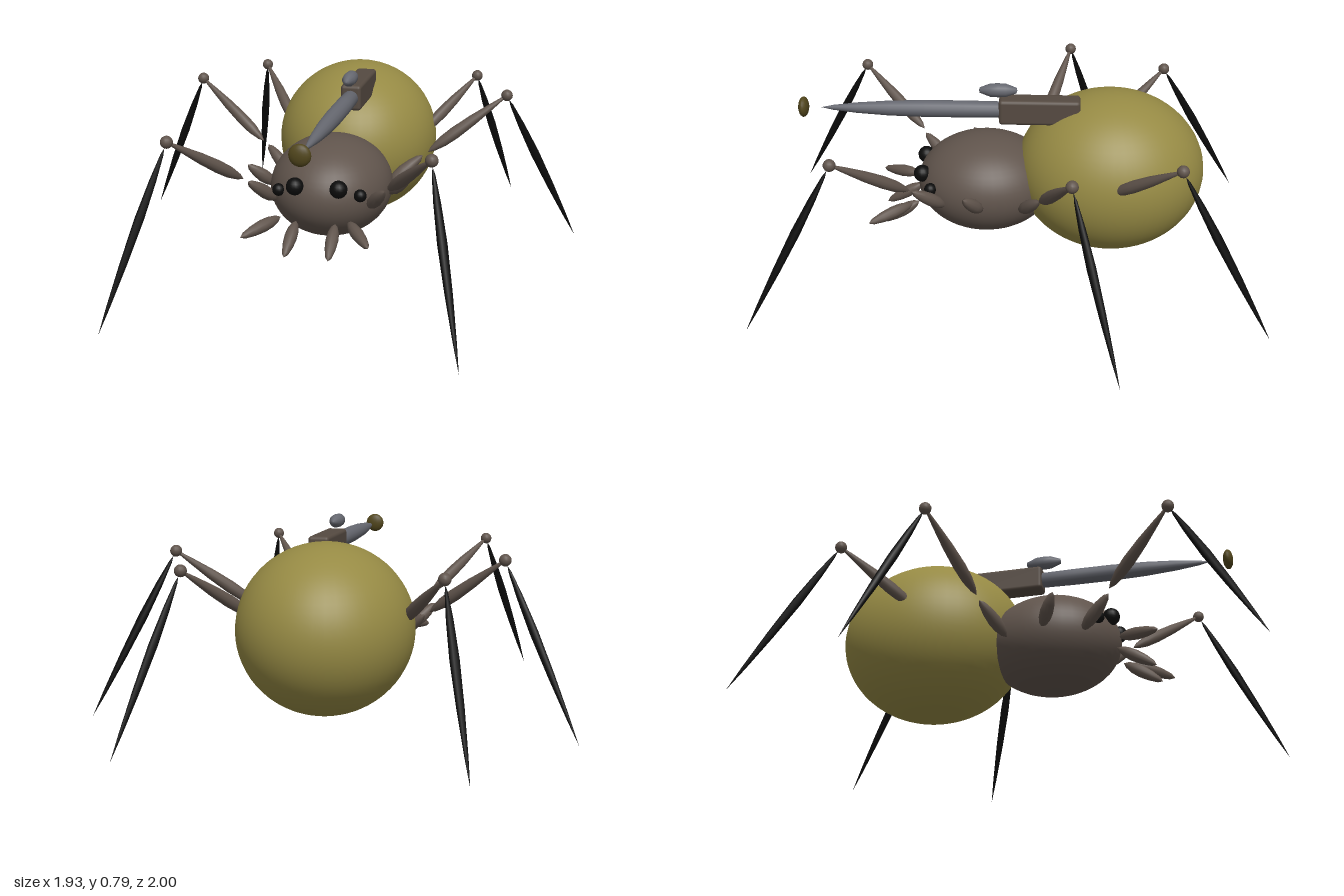
import * as THREE from 'three';
import { RoundedBoxGeometry } from 'three/addons/geometries/RoundedBoxGeometry.js';

const paint = (name, color) => {
  const m = new THREE.MeshStandardMaterial({ color });
  m.name = name;
  return m;
};
const olive = paint('olive', 0x968a44);
const brown = paint('brown', 0x60544c);
const gunBrown = paint('dark brown', 0x554a41);
const steel = paint('steel grey', 0x666870);
const black = paint('black', 0x0c0c0c);
const bronze = paint('bronze', 0x51461c);

// Profiles: [radius factor, fraction along the length]
const POD = [[0, 0], [0.55, 0.1], [0.9, 0.26], [1, 0.45], [0.85, 0.68], [0.5, 0.9], [0, 1]];
const THIGH = [[0, 0], [0.5, 0.07], [0.9, 0.2], [1, 0.36], [0.85, 0.6], [0.5, 0.85], [0.25, 1], [0, 1]];
const SHIN = [[0, 0], [0.35, 0.04], [0.75, 0.18], [1, 0.38], [0.8, 0.62], [0.4, 0.85], [0, 1]];
const BARREL = [[0, 0], [0.94, 0], [1, 0.2], [1, 0.42], [0.88, 0.62], [0.62, 0.8], [0.3, 0.93], [0, 1]];
const KNOB = [[0, 0], [0.4, 0.02], [0.95, 0.3], [1, 0.5], [0.95, 0.7], [0.4, 0.98], [0, 1]];

export function createModel() {
  const model = new THREE.Group();
  model.name = 'armedSpider';

  const add = (name, geometry, material, parent = model) => {
    const mesh = new THREE.Mesh(geometry, material);
    mesh.name = name;
    parent.add(mesh);
    return mesh;
  };

  const ball = (name, material, [x, y, z], [rx, ry, rz], parent, seg = 20) => {
    const mesh = add(name, new THREE.SphereGeometry(1, seg, Math.ceil(seg * 0.7)), material, parent);
    mesh.position.set(x, y, z);
    mesh.scale.set(rx, ry, rz);
    return mesh;
  };

  // Tapered round limb running from a to b
  const spindle = (name, material, a, b, radius, profile, parent, seg = 12) => {
    const from = new THREE.Vector3(...a);
    const dir = new THREE.Vector3(...b).sub(from);
    const length = dir.length();
    const points = profile.map(([r, t]) => new THREE.Vector2(r * radius, t * length));
    const mesh = add(name, new THREE.LatheGeometry(points, seg), material, parent);
    mesh.position.copy(from);
    mesh.quaternion.setFromUnitVectors(new THREE.Vector3(0, 1, 0), dir.normalize());
    return mesh;
  };

  // Body
  ball('abdomen', olive, [0, 0.397, -0.4], [0.342, 0.332, 0.383], model, 48);
  ball('head', brown, [0, 0.336, 0.11], [0.246, 0.202, 0.28], model, 40);

  // Paired parts
  const legs = [
    { name: 'front', hip: [0.285, 0.425, 0.395], knee: [0.49, 0.637, 0.663], foot: [0.65, 0, 1] },
    { name: 'middle', hip: [0.355, 0.425, -0.118], knee: [0.662, 0.657, -0.236], foot: [0.965, 0, -0.42] },
    { name: 'back', hip: [0.29, 0.43, -0.39], knee: [0.49, 0.637, -0.645], foot: [0.635, 0, -1] },
  ];
  const hips = [
    [[0.185, 0.305, 0.265], [0.27, 0.412, 0.39]],
    [[0.235, 0.315, 0.115], [0.335, 0.412, 0.182]],
    [[0.205, 0.302, -0.035], [0.335, 0.412, -0.113]],
  ];
  const mouthparts = [
    [[0.135, 0.285, 0.405], [0.247, 0.25, 0.572]],
    [[0.078, 0.265, 0.385], [0.086, 0.172, 0.54]],
  ];
  const eyes = [
    [[0.087, 0.4, 0.367], 0.035],
    [[0.164, 0.368, 0.328], 0.025],
  ];

  for (const s of [1, -1]) {
    const side = new THREE.Group();
    side.name = s > 0 ? 'leftSide' : 'rightSide';
    model.add(side);
    const flip = ([x, y, z]) => [s * x, y, z];

    for (const { name, hip, knee, foot } of legs) {
      // Small gaps stay between the knee joint and both limb segments
      const toward = (p, t) => knee.map((k, i) => k + (p[i] - k) * t);
      spindle(name + 'UpperLeg', brown, flip(hip), flip(toward(hip, 0.05)), 0.025, THIGH, side);
      ball(name + 'Knee', brown, flip(knee), [0.024, 0.024, 0.024], side, 14);
      spindle(name + 'LowerLeg', black, flip(toward(foot, 0.03)), flip(foot), 0.018, SHIN, side, 8);
    }
    for (const [a, b] of hips) spindle('hip', brown, flip(a), flip(b), 0.027, POD, side);
    for (const [a, b] of mouthparts) spindle('mouthpart', brown, flip(a), flip(b), 0.025, POD, side);
    for (const [p, r] of eyes) ball('eye', black, flip(p), [r, r, r], side, 16);
  }

  // Gun on the back
  const gun = new THREE.Group();
  gun.name = 'gun';
  gun.position.set(0.062, 0.681, 0);
  model.add(gun);
  const stock = add('gunBody', new RoundedBoxGeometry(0.084, 0.104, 0.324, 2, 0.014), gunBrown, gun);
  stock.position.z = -0.109;
  spindle('barrel', steel, [0, 0, 0.045], [0, -0.003, 0.768], 0.034, BARREL, gun, 16);
  spindle('sight', steel, [0, 0.083, -0.02], [0, 0.083, 0.132], 0.028, KNOB, gun, 14);
  ball('muzzleBead', bronze, [0, -0.002, 0.838], [0.041, 0.041, 0.021], gun, 16);

  return model;
}
